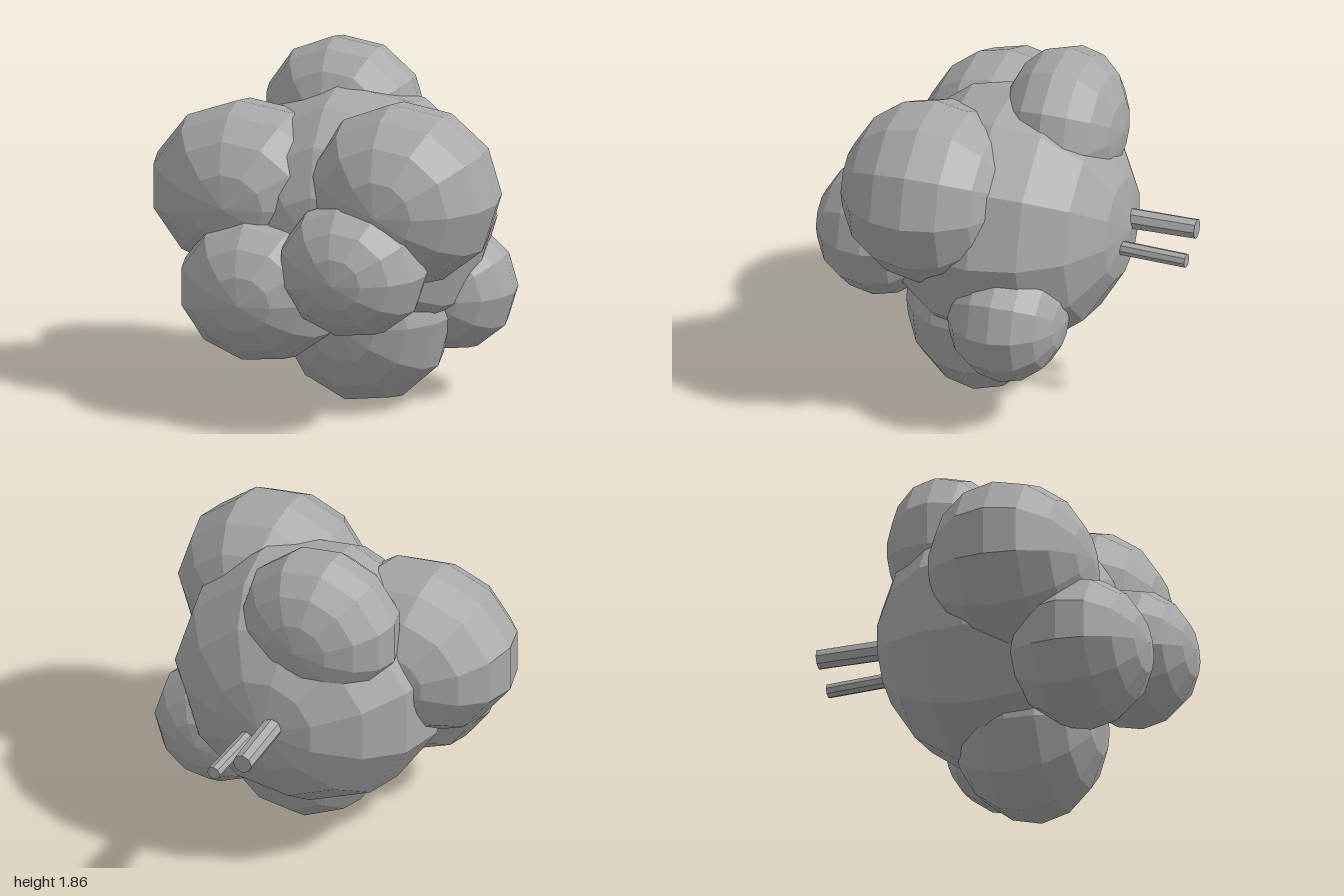
import * as THREE from 'three';

export function createModel() {
  const group = new THREE.Group();
  const grey = new THREE.MeshStandardMaterial({ color: 0xa8a8a8, flatShading: true });
  grey.name = 'plain grey';

  function add(name, geometry) {
    const flat = geometry.toNonIndexed();
    flat.computeVertexNormals();
    const mesh = new THREE.Mesh(flat, grey);
    mesh.name = name;
    group.add(mesh);
    return mesh;
  }

  // Faceted lobes: poles along z, one meridian on the +x side
  const lobes = [
    // name, centre, radii
    ['body', [0.07, 0.975, 0], [0.745, 0.72, 0.66]],
    ['upperLeftLobe', [0.45, 1.23, 0.32], [0.52, 0.49, 0.47]],
    ['upperRightLobe', [-0.44, 1.145, 0.22], [0.55, 0.47, 0.44]],
    ['lowerRightLobe', [-0.265, 0.705, 0.53], [0.45, 0.4, 0.38]],
    ['lowerLeftLobe', [0.287, 0.9, 0.64], [0.403, 0.37, 0.35]],
    ['bottomLobe', [0.165, 0.515, 0.115], [0.475, 0.51, 0.41]],
    ['sideLobe', [0.54, 0.605, -0.14], [0.36, 0.35, 0.315]],
    ['topLobe', [-0.086, 1.455, -0.235], [0.445, 0.42, 0.33]],
  ];
  for (const [name, centre, radii] of lobes) {
    const ball = new THREE.SphereGeometry(1, 11, 8);
    ball.rotateX(Math.PI / 2).rotateZ(Math.PI).scale(...radii);
    add(name, ball).position.set(...centre);
  }

  // Thin rods sticking out of the back
  function rod(name, from, to, radiusFrom, radiusTo) {
    const a = new THREE.Vector3(...from);
    const b = new THREE.Vector3(...to);
    const geometry = new THREE.CylinderGeometry(radiusTo, radiusFrom, a.distanceTo(b), 8);
    const mesh = add(name, geometry);
    mesh.position.copy(a).add(b).multiplyScalar(0.5);
    mesh.quaternion.setFromUnitVectors(new THREE.Vector3(0, 1, 0), b.clone().sub(a).normalize());
  }
  rod('thickRod', [0.01, 1.01, -0.4], [0.003, 1.0, -1], 0.058, 0.054);
  rod('thinRod', [0.137, 0.905, -0.4], [0.17, 0.892, -1], 0.04, 0.038);

  return group;
}
